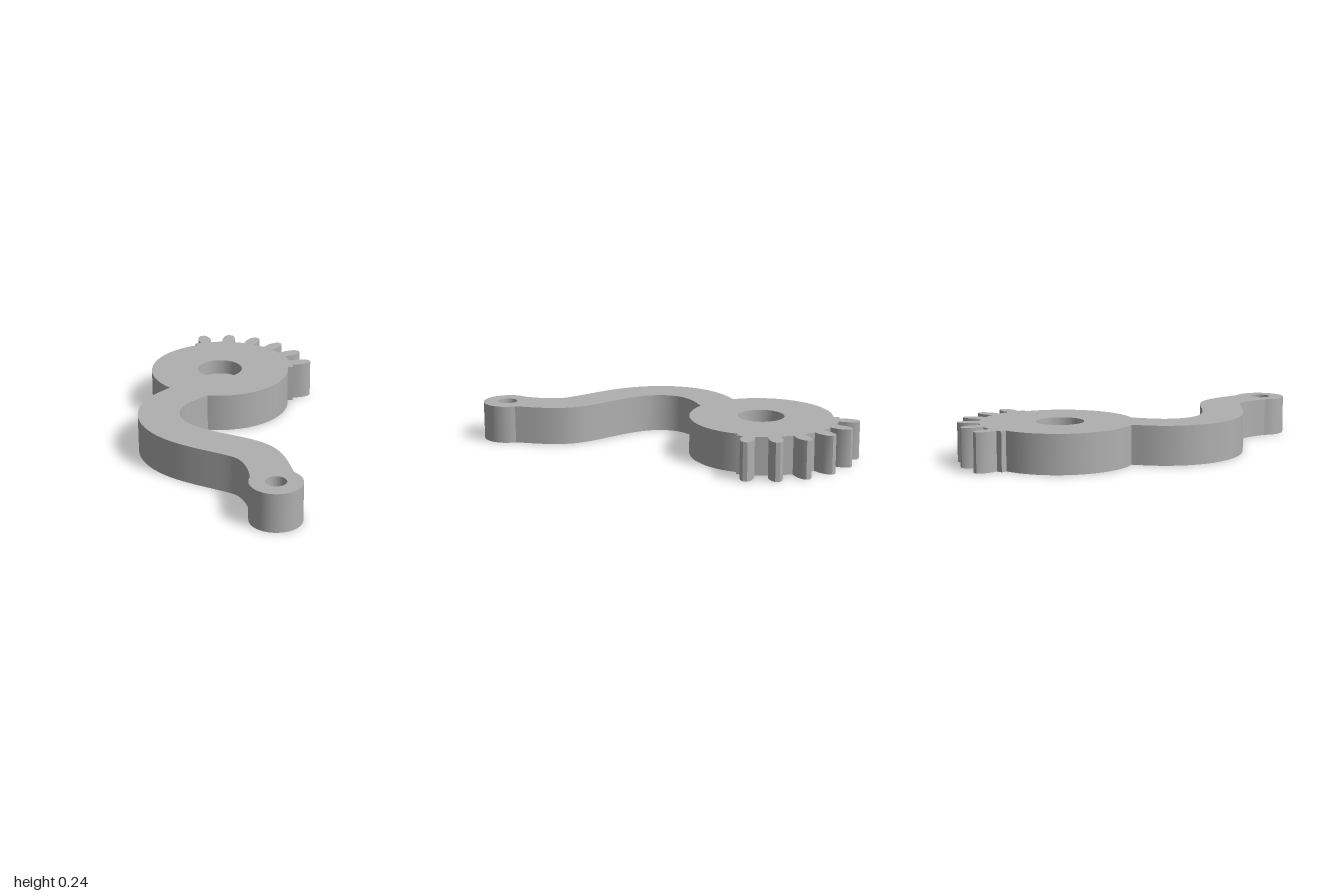
import * as THREE from 'three';
import { toCreasedNormals } from 'three/addons/utils/BufferGeometryUtils.js';

const H = 0.24;            // plate thickness
const RECESS = 0.08;       // height of the underside recess ceiling
const FLOOR = 0.145;       // height of the counterbore floor
const HUB = [0.27, -0.5];  // gear centre (x, z)
const END = [-0.73, 0.84]; // arm eye centre (x, z)
const rad = THREE.MathUtils.degToRad;

// All plan outlines are (x, z) points running counter-clockwise in that plane.
function clean(points) {
  const out = points.filter((p, i) => i === 0 || p.distanceTo(points[i - 1]) > 1e-4);
  if (out[0].distanceTo(out[out.length - 1]) < 1e-4) out.pop();
  return out;
}

function circle([x, z], r) {
  return clean(new THREE.Path().absarc(x, z, r, 0, Math.PI * 2, false).getPoints(32));
}

// Disc with a toothed sector, curved arm and round eye as one outline
function bodyOutline() {
  const [cx, cz] = HUB;
  const p = new THREE.Path();
  const polar = (r, a, side = 0) => p.lineTo(
    cx + r * Math.cos(a) - side * Math.sin(a), cz + r * Math.sin(a) + side * Math.cos(a));
  p.absarc(cx, cz, 0.45, rad(183.2), rad(297), false);
  // six teeth, 18 degrees apart: [radius, half width]
  const tooth = [[0.487, 0.036], [0.53, 0.043], [0.56, 0.041], [0.595, 0.031], [0.615, 0.014]];
  polar(0.487, rad(-63));
  for (let i = 0; i < 6; i++) {
    const a = rad(-54 + 18 * i);
    tooth.forEach(([r, w]) => polar(r, a, -w));
    [...tooth].reverse().forEach(([r, w]) => polar(r, a, w));
  }
  polar(0.487, rad(45));
  p.absarc(cx, cz, 0.45, rad(45), rad(147.7), false);
  // inner edge of the arm
  p.lineTo(-0.24, -0.268);
  p.bezierCurveTo(-0.4, -0.268, -0.495, -0.16, -0.495, -0.02);
  p.bezierCurveTo(-0.495, 0.16, -0.4, 0.32, -0.4, 0.48);
  p.bezierCurveTo(-0.4, 0.63, -0.52, 0.76, -0.575, 0.84);
  // eye, then outer edge back to the disc
  p.absarc(END[0], END[1], 0.155, 0, rad(248), false);
  p.bezierCurveTo(-0.72, 0.63, -0.66, 0.54, -0.66, 0.47);
  p.bezierCurveTo(-0.66, 0.39, -0.75, 0.17, -0.75, -0.01);
  p.bezierCurveTo(-0.75, -0.32, -0.53, -0.525, -0.25, -0.525);
  return clean(p.getPoints(24));
}

// Round hub pocket with a tapered slot running into the arm
function recessOutline() {
  const dir = rad(167), r = 0.19, half = Math.asin(0.135 / r);
  const p = new THREE.Path();
  p.absarc(HUB[0], HUB[1], r, dir + half, dir + Math.PI * 2 - half, false);
  p.absarc(HUB[0] + 0.51 * Math.cos(dir), HUB[1] + 0.51 * Math.sin(dir), 0.075,
    dir - Math.PI / 2, dir + Math.PI / 2, false);
  return clean(p.getPoints(24));
}

// Vertical wall along an outline; inward walls line holes
function wall(points, y0, y1, inward = false) {
  const pos = [];
  points.forEach((p, i) => {
    const q = points[(i + 1) % points.length];
    const [a, b] = inward ? [p, q] : [q, p];
    pos.push(a.x, y0, a.y, b.x, y0, b.y, b.x, y1, b.y,
      a.x, y0, a.y, b.x, y1, b.y, a.x, y1, a.y);
  });
  const g = new THREE.BufferGeometry();
  g.setAttribute('position', new THREE.Float32BufferAttribute(pos, 3));
  return toCreasedNormals(g, 0.5);
}

// Flat horizontal face with holes, facing up or down
function face(points, holes, y, up) {
  const flip = (pts) => pts.map((p) => new THREE.Vector2(p.x, -p.y));
  const shape = new THREE.Shape(flip(points));
  shape.holes = holes.map((h) => new THREE.Path(flip(h)));
  const g = new THREE.ShapeGeometry(shape).rotateX(-Math.PI / 2).translate(0, y, 0);
  if (!up) {
    g.index.array.reverse();
    g.computeVertexNormals();
  }
  return g;
}

export function createModel() {
  const model = new THREE.Group();
  model.name = 'gearLever';
  const grey = new THREE.MeshStandardMaterial({ color: 0xb0b0b0 });
  grey.name = 'grey';
  const add = (name, geometry) => {
    const mesh = new THREE.Mesh(geometry, grey);
    mesh.name = name;
    model.add(mesh);
  };

  const body = bodyOutline();
  const recess = recessOutline();
  const bore = circle(HUB, 0.145);
  const hole = circle(HUB, 0.08);
  const eye = circle(END, 0.062);

  // lever body
  add('bodySide', wall(body, 0, H));
  add('bodyTop', face(body, [bore, eye], H, true));
  add('bodyBottom', face(body, [recess, eye], 0, false));
  // arm eye and hub openings
  add('eyeHole', wall(eye, 0, H, true));
  add('counterboreSide', wall(bore, FLOOR, H, true));
  add('counterboreFloor', face(bore, [hole], FLOOR, true));
  add('axleHole', wall(hole, RECESS, FLOOR, true));
  // underside pocket
  add('recessSide', wall(recess, 0, RECESS, true));
  add('recessCeiling', face(recess, [hole], RECESS, false));
  return model;
}
